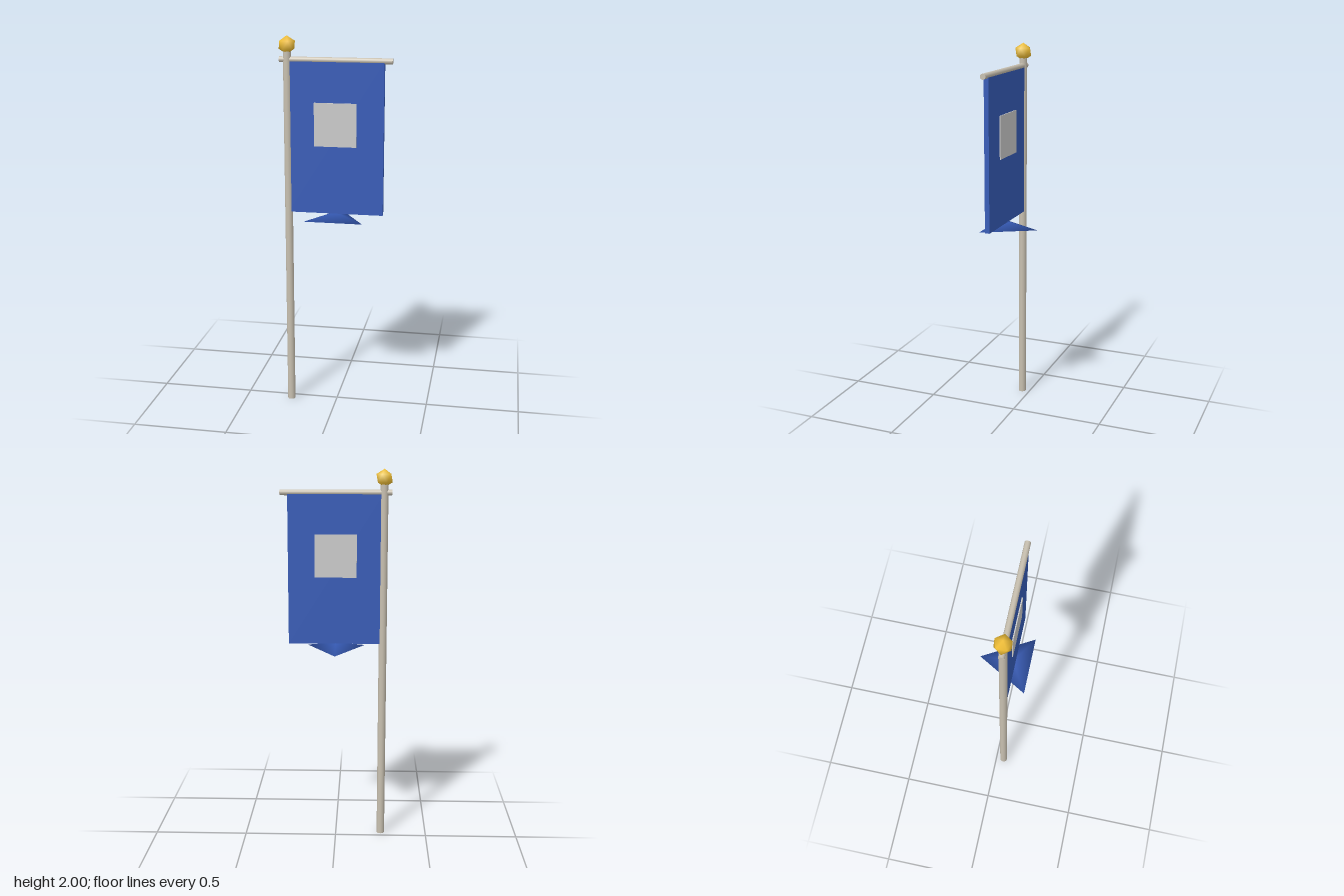
import * as THREE from 'three';
import { mergeVertices } from 'three/addons/utils/BufferGeometryUtils.js';

const Z = 0.044; // plane shared by the pole, bar and cloth

const mat = (color) => new THREE.MeshStandardMaterial({ color });

// Share vertices so a low-poly shape is shaded smoothly
function smooth(geometry) {
  geometry.deleteAttribute('normal');
  geometry.deleteAttribute('uv');
  const merged = mergeVertices(geometry, 1e-4);
  merged.computeVertexNormals();
  return merged;
}

export function createModel() {
  const model = new THREE.Group();
  model.name = 'bannerOnPole';
  const metal = mat(0xc8c0b0);
  const cloth = mat(0x375cb8);

  function add(name, geometry, material, x, y) {
    const mesh = new THREE.Mesh(geometry, material);
    mesh.name = name;
    mesh.position.set(x, y, Z);
    model.add(mesh);
  }

  // Upright pole
  add('pole', new THREE.CylinderGeometry(0.021, 0.021, 1.93, 12), metal, -0.25, 0.965);

  // Ball on top: an icosahedron standing on a corner
  const ball = new THREE.IcosahedronGeometry(0.047, 0);
  ball.rotateZ(-Math.atan(2 / (1 + Math.sqrt(5))));
  add('finial', smooth(ball), mat(0xf2c037), -0.25, 1.953);

  // Crossbar
  const bar = new THREE.CylinderGeometry(0.015, 0.015, 0.58, 12);
  bar.rotateZ(Math.PI / 2);
  add('crossbar', bar, metal, 0, 1.88);

  // Hanging cloth and the plain square panel that shows on both faces
  add('banner', new THREE.BoxGeometry(0.5, 0.795, 0.025), cloth, 0, 1.4825);
  add('panel', new THREE.BoxGeometry(0.22, 0.225, 0.036), mat(0xcccccc), 0, 1.553);

  // Flat three-sided point below the cloth
  const point = new THREE.ConeGeometry(0.178, 0.035, 3);
  point.rotateY(Math.PI);
  add('bannerPoint', smooth(point), cloth, 0, 1.0725);

  return model;
}
